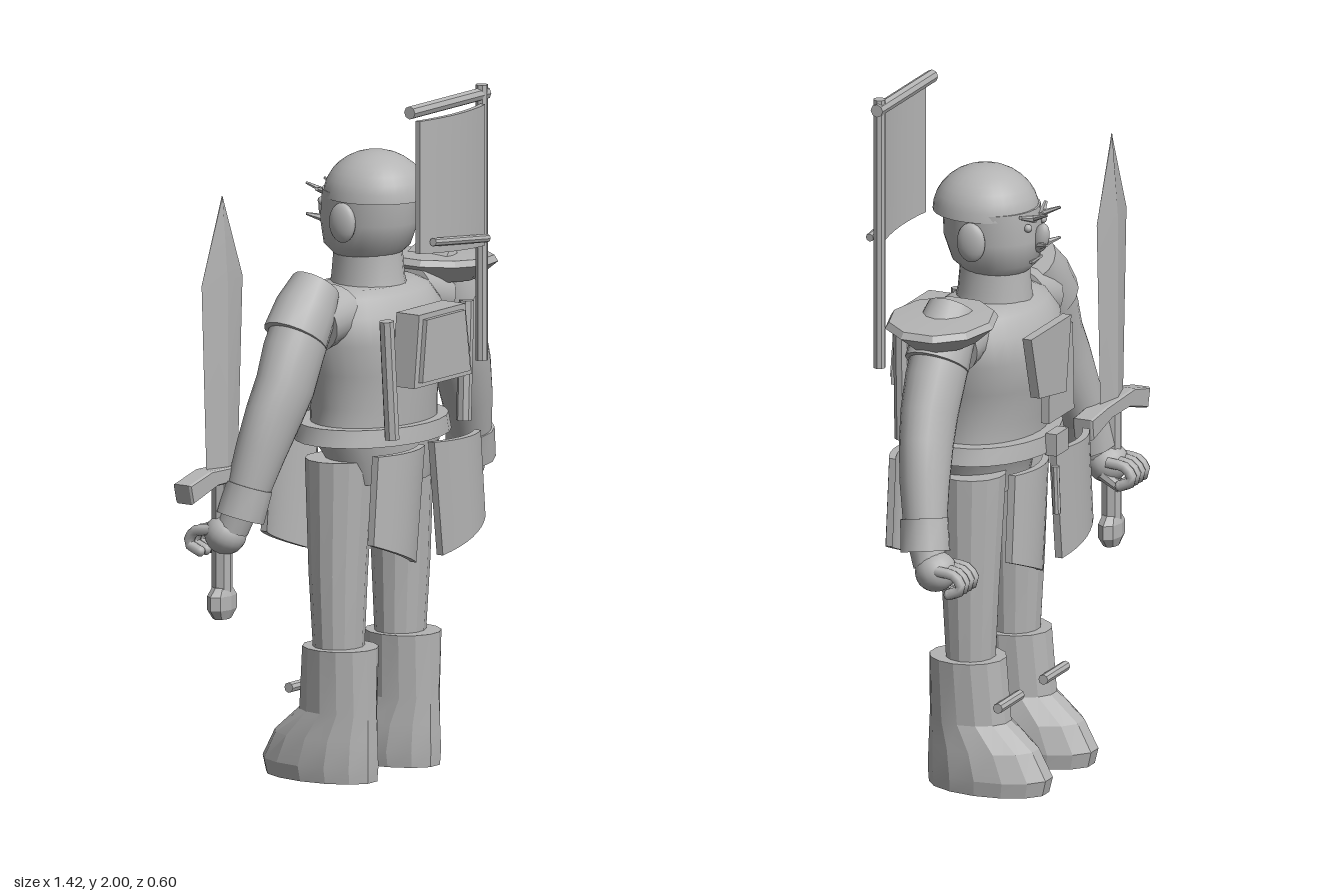
import * as THREE from 'three';
import { toCreasedNormals } from 'three/addons/utils/BufferGeometryUtils.js';

const V = (p) => new THREE.Vector3(...p);

export function createModel() {
  const model = new THREE.Group();
  model.name = 'warrior';
  const grey = new THREE.MeshStandardMaterial({ color: 0xb4b4b4 });
  grey.name = 'plain grey';
  const body = new THREE.Group();
  body.name = 'figure';
  body.position.x = 0.063;
  model.add(body);

  function add(name, geometry, pos = [0, 0, 0], rot = [0, 0, 0], scale = [1, 1, 1]) {
    const m = new THREE.Mesh(geometry, grey);
    m.name = name;
    m.position.set(...pos);
    m.rotation.set(...rot);
    m.scale.set(...scale);
    body.add(m);
    return m;
  }

  // Closed skin through rings [x, y, z, radiusA, radiusB]; level rings or rings square to the path
  function loft(name, rings, sides = 24, crease = 0.7, level = true) {
    const pos = [], idx = [], n = rings.length, Z = new THREE.Vector3(0, 0, 1);
    rings.forEach((r, i) => {
      const t = level ? new THREE.Vector3(0, 1, 0)
        : V(rings[Math.min(i + 1, n - 1)]).sub(V(rings[Math.max(i - 1, 0)])).normalize();
      const u = t.clone().cross(Z).normalize(), w = u.clone().cross(t);
      for (let j = 0; j < sides; j++) {
        const a = (j / sides) * Math.PI * 2;
        const p = V(r.slice(0, 3)).addScaledVector(u, r[3] * Math.cos(a)).addScaledVector(w, r[4] * Math.sin(a));
        pos.push(p.x, p.y, p.z);
      }
    });
    pos.push(...rings[0].slice(0, 3), ...rings[n - 1].slice(0, 3));
    for (let j = 0; j < sides; j++) {
      const k = (j + 1) % sides, top = (n - 1) * sides;
      for (let i = 0; i < n - 1; i++) {
        const a = i * sides + j, b = i * sides + k;
        idx.push(a, a + sides, b, b, a + sides, b + sides);
      }
      idx.push(n * sides, j, k, n * sides + 1, top + k, top + j);
    }
    const g = new THREE.BufferGeometry();
    g.setAttribute('position', new THREE.Float32BufferAttribute(pos, 3));
    g.setIndex(idx);
    return add(name, toCreasedNormals(g, crease));
  }

  // Rod between two points
  function rod(name, a, b, r1, r2 = r1, sides = 8) {
    const A = V(a), B = V(b), d = B.clone().sub(A);
    const g = toCreasedNormals(new THREE.CylinderGeometry(r2, r1, d.length(), sides), 0.6);
    const m = add(name, g, A.clone().add(B).multiplyScalar(0.5).toArray());
    m.quaternion.setFromUnitVectors(new THREE.Vector3(0, 1, 0), d.normalize());
    return m;
  }

  // Four-cornered plate (bottom left, bottom right, top right, top left) bowed along z
  function plate(name, [bl, br, tr, tl], z, thick, bow = 0) {
    const g = new THREE.BoxGeometry(1, 1, thick, 8, 4, 1), p = g.attributes.position;
    for (let i = 0; i < p.count; i++) {
      const u = p.getX(i) + 0.5, v = p.getY(i) + 0.5;
      const mix = (k) => (bl[k] * (1 - u) + br[k] * u) * (1 - v) + (tl[k] * (1 - u) + tr[k] * u) * v;
      p.setXYZ(i, mix(0), mix(1), z + p.getZ(i) + bow * 4 * u * (1 - u));
    }
    return add(name, toCreasedNormals(g, 0.6));
  }
  const mirror = (q) => [q[1], q[0], q[3], q[2]].map(([x, y]) => [-x, y]);

  // Torso, hips and belt
  loft('torso', [[0, 1.0, -0.035, 0.22, 0.16], [0, 1.08, -0.035, 0.21, 0.165], [0, 1.18, -0.045, 0.228, 0.182],
    [0, 1.27, -0.05, 0.25, 0.19], [0, 1.35, -0.05, 0.255, 0.175], [0, 1.4, -0.05, 0.22, 0.14], [0, 1.42, -0.05, 0.17, 0.11]], 32);
  loft('hips', [[0, 0.86, -0.01, 0.17, 0.13], [0, 0.93, -0.01, 0.2, 0.14], [0, 1.0, -0.03, 0.23, 0.165]]);
  loft('belt', [[0, 0.98, -0.04, 0.268, 0.2], [0, 1.03, -0.04, 0.255, 0.195]], 24, 0.5);
  add('beltBuckle', new THREE.BoxGeometry(0.08, 0.065, 0.035), [0, 1.005, -0.25]);
  rod('beltPendant', [0, 0.93, -0.245], [0, 0.79, -0.25], 0.012);

  // Neck and head
  loft('neck', [[0, 1.38, -0.05, 0.11, 0.12], [0, 1.44, -0.055, 0.098, 0.108], [0, 1.53, -0.055, 0.092, 0.1]], 20);
  loft('head', [[0, 1.495, -0.06, 0.085, 0.09], [0, 1.53, -0.058, 0.12, 0.127], [0, 1.6, -0.05, 0.135, 0.144],
    [0, 1.69, -0.045, 0.138, 0.14]], 28, 1.2);
  const dome = [];
  for (let i = 0; i <= 8; i++) {
    const a = (i / 8) * Math.PI / 2;
    dome.push([0, 1.67 + 0.133 * Math.sin(a), -0.027, Math.max(0.146 * Math.cos(a), 0.001), Math.max(0.154 * Math.cos(a), 0.001)]);
  }
  loft('cap', dome, 32, 0.8);
  add('nose', new THREE.SphereGeometry(1, 14, 10), [0, 1.605, -0.2], [-0.25, 0, 0], [0.02, 0.045, 0.024]);
  add('mouth', new THREE.BoxGeometry(0.07, 0.008, 0.015), [0, 1.54, -0.18]);

  for (const s of [-1, 1]) {
    add('ear', new THREE.SphereGeometry(1, 16, 12), [s * 0.14, 1.61, -0.045], [0, 0, 0], [0.022, 0.058, 0.044]);
    add('eye', new THREE.SphereGeometry(0.012, 10, 8), [s * 0.05, 1.645, -0.182]);
    rod('eyebrow', [s * 0.02, 1.665, -0.19], [s * 0.085, 1.685, -0.175], 0.011, 0.006, 6);
    rod('browTuft', [s * 0.03, 1.67, -0.19], [s * 0.045, 1.69, -0.24], 0.009, 0.004, 6);
    rod('moustache', [s * 0.01, 1.585, -0.2], [s * 0.045, 1.6, -0.24], 0.012, 0.004, 6);

    // Leg and boot
    loft('leg', [[s * 0.15, 0.36, -0.05, 0.078, 0.07], [s * 0.153, 0.6, -0.05, 0.088, 0.083], [s * 0.145, 0.93, -0.05, 0.1, 0.1]], 14, 0.3);
    loft('boot', [[s * 0.153, 0, -0.108, 0.105, 0.183], [s * 0.153, 0.045, -0.112, 0.112, 0.19],
      [s * 0.153, 0.125, -0.092, 0.106, 0.167], [s * 0.153, 0.2, -0.05, 0.092, 0.122],
      [s * 0.153, 0.385, -0.042, 0.103, 0.113]], 14, 0.25);
    rod('bootStrap', [s * 0.153 - 0.075, 0.26, -0.17], [s * 0.153 + 0.075, 0.26, -0.17], 0.015);

    // Hanging hip plates, back and front
    const skirt = [[-0.273, 0.715], [-0.065, 0.635], [-0.023, 0.97], [-0.25, 0.97]];
    for (const d of [1, -1]) {
      plate(d > 0 ? 'backHipPlate' : 'frontHipPlate', s < 0 ? skirt : mirror(skirt), d > 0 ? 0.15 : -0.225, 0.022, d * 0.03);
    }

    // Shoulder guard and arm
    loft('shoulder', [[s * 0.17, 1.36, -0.045, 0.08, 0.09], [s * 0.29, 1.34, -0.045, 0.085, 0.09]], 20, 0.8, false);
    loft('shoulderGuard', [[s * 0.268, 1.448, -0.045, 0.078, 0.07], [s * 0.32, 1.385, -0.045, 0.093, 0.088],
      [s * 0.37, 1.312, -0.045, 0.102, 0.092]], 16, 0.6, false);
    loft('arm', [[s * 0.32, 1.37, -0.045, 0.09, 0.085], [s * 0.38, 1.27, -0.045, 0.096, 0.085], [s * 0.42, 1.18, -0.045, 0.097, 0.08],
      [s * 0.462, 1.1, -0.055, 0.094, 0.075], [s * 0.505, 1.0, -0.07, 0.08, 0.07], [s * 0.545, 0.88, -0.09, 0.062, 0.062]], 24, 1, false);
    rod('cuff', [s * 0.54, 0.905, -0.085], [s * 0.563, 0.815, -0.1], 0.07, 0.072, 12);

    // Fist: palm, four curled fingers and a thumb
    rod('wrist', [s * 0.563, 0.84, -0.1], [s * 0.575, 0.78, -0.12], 0.05, 0.048, 12);
    add('palm', new THREE.SphereGeometry(1, 18, 14), [s * 0.578, 0.765, -0.14], [0.5, 0, 0], [0.062, 0.058, 0.06]);
    for (let i = 0; i < 4; i++) {
      const x = s * (0.53 + i * 0.03);
      const curl = new THREE.CatmullRomCurve3([[x, 0.78, -0.16], [x, 0.77, -0.22], [x, 0.735, -0.238], [x, 0.715, -0.2]].map(V));
      add('finger', new THREE.TubeGeometry(curl, 8, 0.016, 8));
      add('fingerTip', new THREE.SphereGeometry(0.016, 8, 6), [x, 0.715, -0.2]);
    }
    rod('thumb', [s * 0.535, 0.745, -0.14], [s * 0.555, 0.7, -0.19], 0.02, 0.015);

    // Rods on the back
    rod('backRod', [s * 0.195, 1.355, 0.15], [s * 0.175, 1.01, 0.155], 0.022, 0.022, 8);
  }

  // Armour plates on the chest and the pack on the back
  plate('chestPanel', [[-0.09, 1.08], [0.08, 1.08], [0.075, 1.34], [-0.08, 1.34]], -0.25, 0.025);
  plate('breastPlate', [[0.01, 1.16], [0.19, 1.19], [0.245, 1.38], [-0.025, 1.38]], -0.27, 0.028);
  plate('backPack', [[-0.137, 1.155], [0.145, 1.155], [0.112, 1.365], [-0.112, 1.365]], 0.165, 0.08);
  plate('packCover', [[-0.115, 1.17], [0.12, 1.17], [0.093, 1.35], [-0.093, 1.35]], 0.21, 0.018);

  // Round guard on the left shoulder
  const disc = [[0.001, -0.05], [0.115, -0.05], [0.178, 0], [0.165, 0.018], [0.001, 0.028]].map(([x, y]) => new THREE.Vector2(x, y));
  add('roundShoulderGuard', toCreasedNormals(new THREE.LatheGeometry(disc, 10), 0.2), [0.337, 1.428, -0.045], [0, 0, -0.06], [1, 1, 0.9]);

  // Sword in the right hand
  const sx = -0.581, sz = -0.15;
  const blade = [[0.94, 0.076], [1.5, 0.1], [1.745, 0.002]].map(([y, w], i) => [sx, y, sz, w, i < 2 ? 0.02 : 0.002]);
  loft('swordBlade', blade, 4, 0.1);
  const guard = new THREE.Shape([[-0.193, 0.935], [-0.09, 0.96], [0.09, 0.955], [0.193, 0.945], [0.185, 0.89], [0.06, 0.92],
    [-0.06, 0.92], [-0.18, 0.885]].map(([x, y]) => new THREE.Vector2(x, y)));
  add('swordGuard', new THREE.ExtrudeGeometry(guard, { depth: 0.05, bevelEnabled: true, bevelSize: 0.004, bevelThickness: 0.006, bevelSegments: 1 }),
    [sx, 0, sz - 0.025]);
  rod('swordGrip', [sx, 0.94, sz], [sx, 0.58, sz], 0.03);
  loft('swordPommel', [[sx, 0.52, sz, 0.033, 0.022], [sx, 0.548, sz, 0.057, 0.033], [sx, 0.588, sz, 0.057, 0.033],
    [sx, 0.612, sz, 0.033, 0.026]], 8, 0.2);

  // Banner on the back
  rod('bannerPole', [0.14, 1.2, 0.243], [0.14, 2.0, 0.243], 0.018);
  rod('bannerCrossbar', [-0.208, 1.972, 0.24], [0.165, 1.972, 0.24], 0.019);
  plate('bannerCloth', [[-0.202, 1.565], [0.115, 1.54], [0.115, 1.95], [-0.202, 1.95]], 0.265, 0.016, 0.022);
  rod('bannerHem', [-0.17, 1.597, 0.295], [0.095, 1.567, 0.295], 0.012);

  return model;
}
